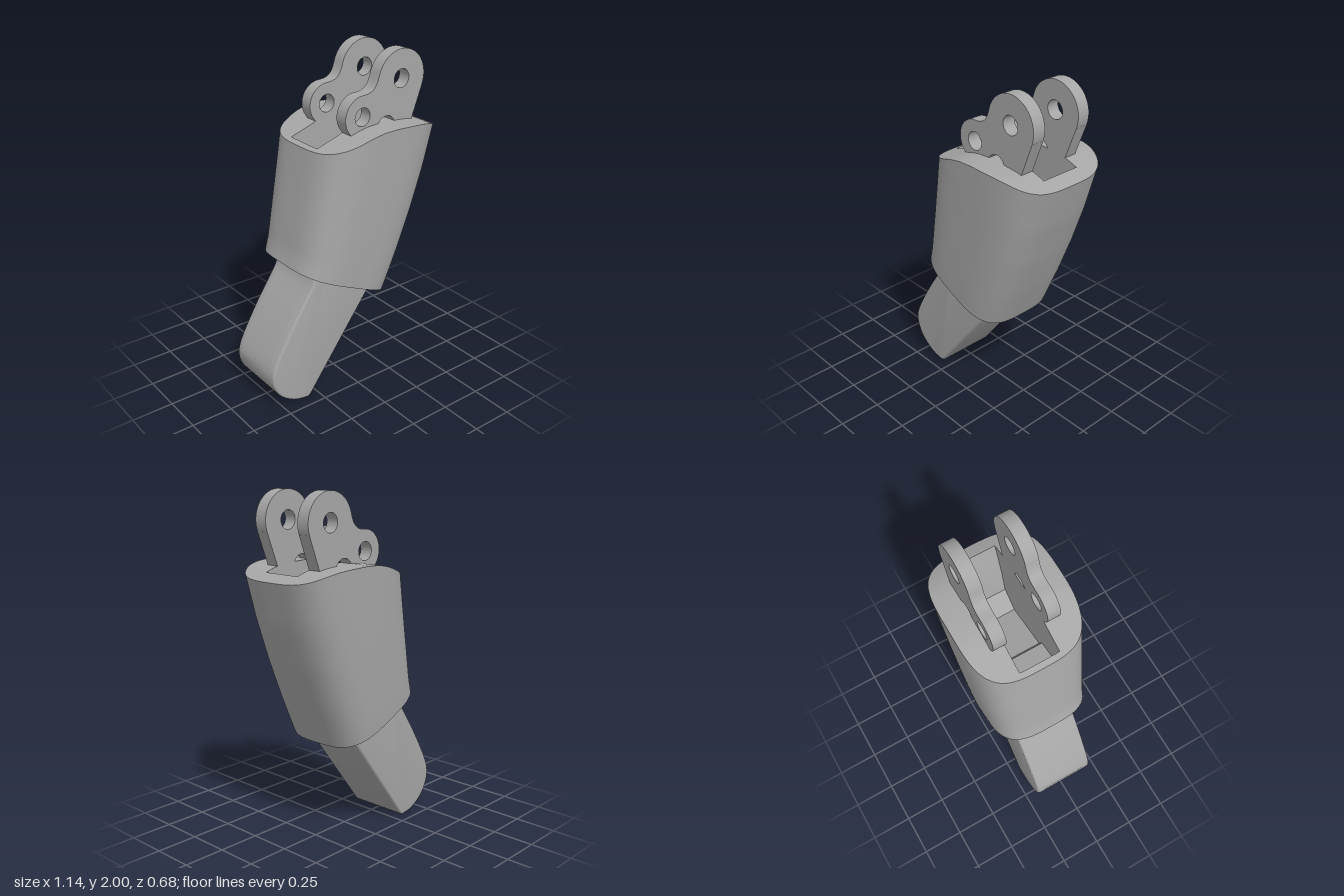
import * as THREE from 'three';
import { mergeVertices, toCreasedNormals } from 'three/addons/utils/BufferGeometryUtils.js';

const grey = new THREE.MeshStandardMaterial({ color: 0xa6a6a6, side: THREE.DoubleSide });
grey.name = 'grey';

const vecs = (pts) => pts.map(([x, y]) => new THREE.Vector2(x, y));

// Piecewise linear lookup of a point at t (0..1) along [t, x, y] keys
function along(keys, t) {
  let i = 0;
  while (i < keys.length - 2 && t > keys[i + 1][0]) i++;
  const [t0, x0, y0] = keys[i], [t1, x1, y1] = keys[i + 1];
  const k = (t - t0) / (t1 - t0);
  return [x0 + (x1 - x0) * k, y0 + (y1 - y0) * k];
}

// Smooth surface from f(i, j) -> [x, y, z]
function grid(ni, nj, f) {
  const pos = [], idx = [];
  for (let j = 0; j <= nj; j++) for (let i = 0; i <= ni; i++) pos.push(...f(i, j));
  for (let j = 0; j < nj; j++) for (let i = 0; i < ni; i++) {
    const a = j * (ni + 1) + i, b = a + 1, c = a + ni + 1, d = c + 1;
    idx.push(a, c, b, b, c, d);
  }
  let g = new THREE.BufferGeometry();
  g.setAttribute('position', new THREE.Float32BufferAttribute(pos, 3));
  g.setIndex(idx);
  g = mergeVertices(g, 1e-5);
  g.computeVertexNormals();
  return g;
}

// Wavy height of the upper rim, as a curve over x
const rim = new THREE.SplineCurve(vecs([[-0.235, 1.51], [-0.1, 1.553], [0, 1.587], [0.1, 1.607],
  [0.2, 1.608], [0.36, 1.598], [0.46, 1.575], [0.57, 1.53]])).getPoints(60);
function rimY(x) {
  let i = 0;
  while (i < rim.length - 2 && x > rim[i + 1].x) i++;
  const a = rim[i], b = rim[i + 1];
  return a.y + (b.y - a.y) * (x - a.x) / (b.x - a.x);
}

// Sleeve edges in the side profile, from bottom (0) to top (1)
const backEdge = [[0, -0.37, 0.84], [0.12, -0.345, 0.92], [0.5, -0.297, 1.18], [1, -0.235, 1.51]];
const frontEdge = [[0, 0.23, 0.57], [0.25, 0.33, 0.81], [0.5, 0.422, 1.05], [0.75, 0.503, 1.29], [1, 0.57, 1.53]];
const SEG = 96;

// Unit rounded rectangle
function outline(i) {
  const a = (i % SEG) / SEG * Math.PI * 2, p = 2 / 3.4;
  const e = (v) => Math.sign(v) * Math.pow(Math.abs(v), p);
  return [e(Math.cos(a)), e(Math.sin(a))];
}

function sleevePoint(i, t) {
  const [u, w] = outline(i), k = (u + 1) / 2;
  const [bx, by] = along(backEdge, t), [fx, fy] = along(frontEdge, t);
  const x = bx + (fx - bx) * k;
  const topX = -0.235 + 0.805 * k;
  const bump = rimY(topX) - (1.51 + 0.02 * k);
  const depth = 0.298 + 0.04 * Math.pow(t, 0.8);
  return [x, by + (fy - by) * k + bump * Math.pow(t, 3), w * depth];
}

// Pocket cut into the sleeve top
const P0 = -0.2, P1 = 0.485, PZ = 0.12;
const floor = [[P0, rimY(P0)], [-0.15, 1.3], [-0.03, 1.27], [0, 1.2], [0.28, 1.12],
  [0.385, 1.2], [0.42, 1.36], [0.455, 1.48], [P1, rimY(P1)]];

export function createModel() {
  const model = new THREE.Group();
  const add = (name, geo, parent = model) => {
    const m = new THREE.Mesh(geo, grey);
    m.name = name;
    parent.add(m);
    return m;
  };

  // Sleeve: lofted side wall, bottom face and rim face around the pocket
  const sleeve = new THREE.Group();
  sleeve.name = 'sleeve';
  model.add(sleeve);
  add('sleeveWall', grid(SEG, 20, (i, j) => sleevePoint(i, j / 20)), sleeve);
  add('sleeveBottom', grid(SEG, 1, (i, j) => {
    const p = sleevePoint(i, 0);
    return j ? p : [-0.07, 0.705, 0];
  }), sleeve);
  add('sleeveRim', grid(SEG, 8, (i, j) => {
    const [x, , z] = sleevePoint(i, 1), [u, w] = outline(i), k = j / 8;
    const m = Math.max(Math.abs(u), Math.abs(w));
    const ix = (P0 + P1) / 2 + (u / m) * (P1 - P0) / 2, iz = (w / m) * PZ;
    const px = x + (ix - x) * k;
    return [px, rimY(px), z + (iz - z) * k];
  }), sleeve);

  // Pocket floor and its two side walls
  const floorGeo = grid(floor.length - 1, 1, (i, j) => [...floor[i], j ? PZ : -PZ]);
  add('pocketFloor', toCreasedNormals(floorGeo, 0.4), sleeve);
  const lip = [];
  for (let i = 19; i > 0; i--) {
    const x = P0 + (P1 - P0) * i / 20;
    lip.push([x, rimY(x)]);
  }
  for (const s of [-1, 1]) {
    const wall = new THREE.ShapeGeometry(new THREE.Shape(vecs([...floor, ...lip])));
    if (s > 0) wall.scale(1, 1, -1).setIndex([...wall.index.array].reverse());
    wall.computeVertexNormals();
    add('pocketWall', wall.translate(0, 0, s * PZ), sleeve);
  }

  // Pair of hinge lugs with pin holes
  const lug = new THREE.Shape();
  lug.moveTo(0.33, 1.4);
  lug.lineTo(0.472, 1.778);
  lug.absarc(0.318, 1.836, 0.164, -0.36, Math.PI - 0.25, false);
  lug.bezierCurveTo(0.14, 1.81, 0.115, 1.79, 0.06, 1.787);
  lug.absarc(0.05, 1.668, 0.119, 1.5, Math.PI + 0.72, false);
  lug.lineTo(0.06, 1.45);
  lug.closePath();
  for (const [x, y, r] of [[0.318, 1.836, 0.053], [0.048, 1.668, 0.052], [0.215, 1.58, 0.063]]) {
    lug.holes.push(new THREE.Path().absarc(x, y, r, 0, Math.PI * 2, true));
  }
  for (const z of [-0.198, 0.12]) {
    const g = new THREE.ExtrudeGeometry(lug, { depth: 0.078, bevelEnabled: false, curveSegments: 32 });
    add('hingeLug', toCreasedNormals(g, 0.5).translate(0, 0, z));
  }

  // Fingertip: rounded blade sticking out of the sleeve
  const back = vecs([[-0.2, 0.9], [-0.265, 0.785], [-0.3, 0.71], [-0.42, 0.53], [-0.525, 0.35],
    [-0.566, 0.25], [-0.562, 0.17], [-0.525, 0.1], [-0.47, 0.05], [-0.4, 0.015], [-0.325, 0.003]]);
  const backCurve = new THREE.SplineCurve(back);
  const tip = new THREE.Shape([
    ...backCurve.getPoints(50),
    ...vecs([[-0.305, 0.015], [0.14, 0.61], [0.2, 0.72]]),
  ]);
  const tipGeo = new THREE.ExtrudeGeometry(tip, {
    depth: 0.35, bevelThickness: 0.015, bevelSize: 0.015, bevelOffset: -0.015, bevelSegments: 4,
  });
  add('fingertip', toCreasedNormals(tipGeo, 0.5).translate(0, 0, -0.18));

  // Thin pad along the back of the fingertip
  add('fingertipPad', grid(20, 1, (i, j) => {
    const t = 0.1 + 0.4 * i / 20, p = backCurve.getPoint(t), d = backCurve.getTangent(t);
    return [p.x + d.y * 0.003, p.y - d.x * 0.003, j ? 0.135 : -0.15];
  }));

  return model;
}
